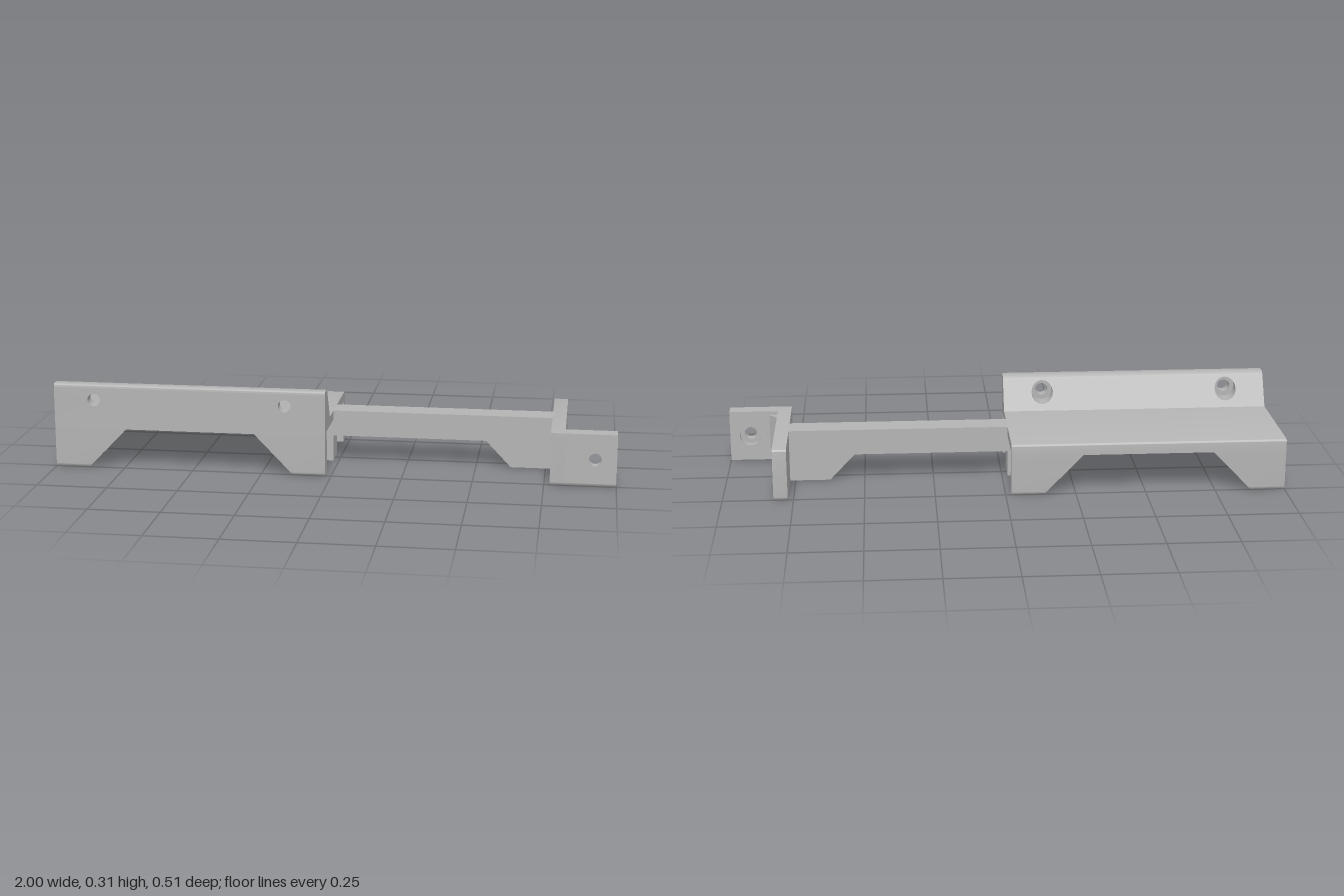
import * as THREE from 'three';
import { toCreasedNormals } from 'three/addons/utils/BufferGeometryUtils.js';

const grey = new THREE.MeshStandardMaterial({ color: 0xb4b4b4 });
grey.name = 'grey';

// Closed outline from [x, y, cornerRadius?] points
function outline(points) {
  const shape = new THREE.Shape();
  const n = points.length;
  points.forEach(([x, y, r = 0], i) => {
    const go = i === 0 ? 'moveTo' : 'lineTo';
    if (!r) { shape[go](x, y); return; }
    const p = new THREE.Vector2(x, y);
    const toward = (q) => new THREE.Vector2(q[0], q[1]).sub(p).setLength(r).add(p);
    const a = toward(points[(i + n - 1) % n]);
    const b = toward(points[(i + 1) % n]);
    shape[go](a.x, a.y);
    shape.quadraticCurveTo(x, y, b.x, b.y);
  });
  shape.closePath();
  return shape;
}

const extrude = (shape, depth) =>
  new THREE.ExtrudeGeometry(shape, { depth, bevelEnabled: false, curveSegments: 8 });

// Profile of [z, y, r] points swept from x0 to x1
function alongX(profile, x0, x1) {
  const shape = outline(profile.map(([z, y, r]) => [-z, y, r]));
  return extrude(shape, x1 - x0).rotateY(Math.PI / 2).translate(x0, 0, 0);
}

// Panel of [x, y] points from z0 to z1 with round holes [x, y, r]
function alongZ(points, z0, z1, holes = []) {
  const shape = outline(points);
  for (const [x, y, r] of holes) {
    shape.holes.push(new THREE.Path().absarc(x, y, r, 0, Math.PI * 2, true));
  }
  return extrude(shape, z1 - z0).translate(0, 0, z0);
}

const rect = (a0, b0, a1, b1) => [[a0, b0], [a1, b0], [a1, b1], [a0, b1]];

function reshape(geo, rule) {
  const pos = geo.attributes.position;
  const v = new THREE.Vector3();
  for (let i = 0; i < pos.count; i++) {
    rule(v.fromBufferAttribute(pos, i));
    pos.setXYZ(i, v.x, v.y, v.z);
  }
  geo.computeVertexNormals();
  return geo;
}

export function createModel() {
  const model = new THREE.Group();
  model.name = 'mountingBracket';
  const add = (parent, name, geo) => {
    const mesh = new THREE.Mesh(toCreasedNormals(geo, 0.6), grey);
    mesh.name = name;
    parent.add(mesh);
  };
  const group = (name) => {
    const g = new THREE.Group();
    g.name = name;
    model.add(g);
    return g;
  };

  const L = -1, R = -0.02, F = 0.255, B = -0.255;
  const top = 0.188, arch = 0.145, under = 0.155, wall = 0.04, half = 0.047, r = 0.011;

  // Deck with the upper strips of its three walls
  const tray = group('tray');
  add(tray, 'deck', alongX([
    [F, arch], [F, top], [B, top, r], [B, arch], [B + wall, arch], [B + wall, under],
    [-half, under], [-half, arch], [half, arch], [half, under],
    [F - wall, under], [F - wall, arch],
  ], L, R));

  // Six feet with sloped inner ends
  const profiles = {
    front: [[F - wall, 0], [F, 0, r], [F, arch], [F - wall, arch]],
    middle: rect(-half, 0, half, arch),
    back: [[B, 0, r], [B + wall, 0], [B + wall, arch], [B, arch]],
  };
  for (const [name, profile] of Object.entries(profiles)) {
    const slope = (y) => 0.12 + 0.14 * (y / arch);
    add(tray, name + 'RightFoot', reshape(alongX(profile, L, L + 0.1), (v) => {
      if (v.x > L + 0.05) v.x = L + slope(v.y);
    }));
    add(tray, name + 'LeftFoot', reshape(alongX(profile, R - 0.1, R), (v) => {
      if (v.x < R - 0.05) v.x = R - slope(v.y) + 0.005;
    }));
  }

  // Raised lip: drilled front panel, counterbored sloping back, rounded cap
  const lip = group('lip');
  const capY = 0.294;
  const holeX = [-0.855, -0.165];
  const lipRect = rect(L, top, R, capY);
  const slopeZ = (y) => 0.137 + (y - top) * (0.062 / (capY - top));
  add(lip, 'lipPanel', alongZ(lipRect, F - wall, F, holeX.map((x) => [x, 0.25, 0.023])));
  add(lip, 'lipSlope', reshape(
    alongZ(lipRect, 0, F - wall, holeX.map((x) => [x, 0.25, 0.04])),
    (v) => { if (v.z < 0.01) v.z = slopeZ(v.y); }));
  add(lip, 'lipCap', alongX(
    [[F, capY], [F, 0.306, r], [0.207, 0.306, 0.012], [slopeZ(capY), capY]], L, R));

  // Connecting rail with a sloped foot
  add(model, 'rail', alongZ([
    [R, 0.095], [0.535, 0.095], [0.625, 0], [0.775, 0], [0.775, top], [R, top],
  ], -half, half));

  // Cross plate and drilled tab
  const end = group('endBracket');
  add(end, 'crossPlate', alongX(
    [[F, 0, r], [F, top], [B, top, r], [B, 0, r]], 0.77, 0.82));
  const tab = rect(0.82, r, 1, top);
  add(end, 'tabFront', alongZ(tab, 0.222, F, [[0.925, 0.097, 0.023]]));
  add(end, 'tabBack', alongZ(tab, 0.197, 0.222, [[0.925, 0.097, 0.04]]));
  add(end, 'tabBottom', alongX([[0.197, 0], [F, 0, r], [F, r], [0.197, r]], 0.82, 1));

  // Corner gusset between plate and tab
  const gusset = extrude(outline([[0.82, -0.165], [0.82, -0.197], [0.852, -0.197]]), 0.158);
  add(end, 'gusset', gusset.rotateX(-Math.PI / 2).translate(0, 0.015, 0));

  return model;
}
